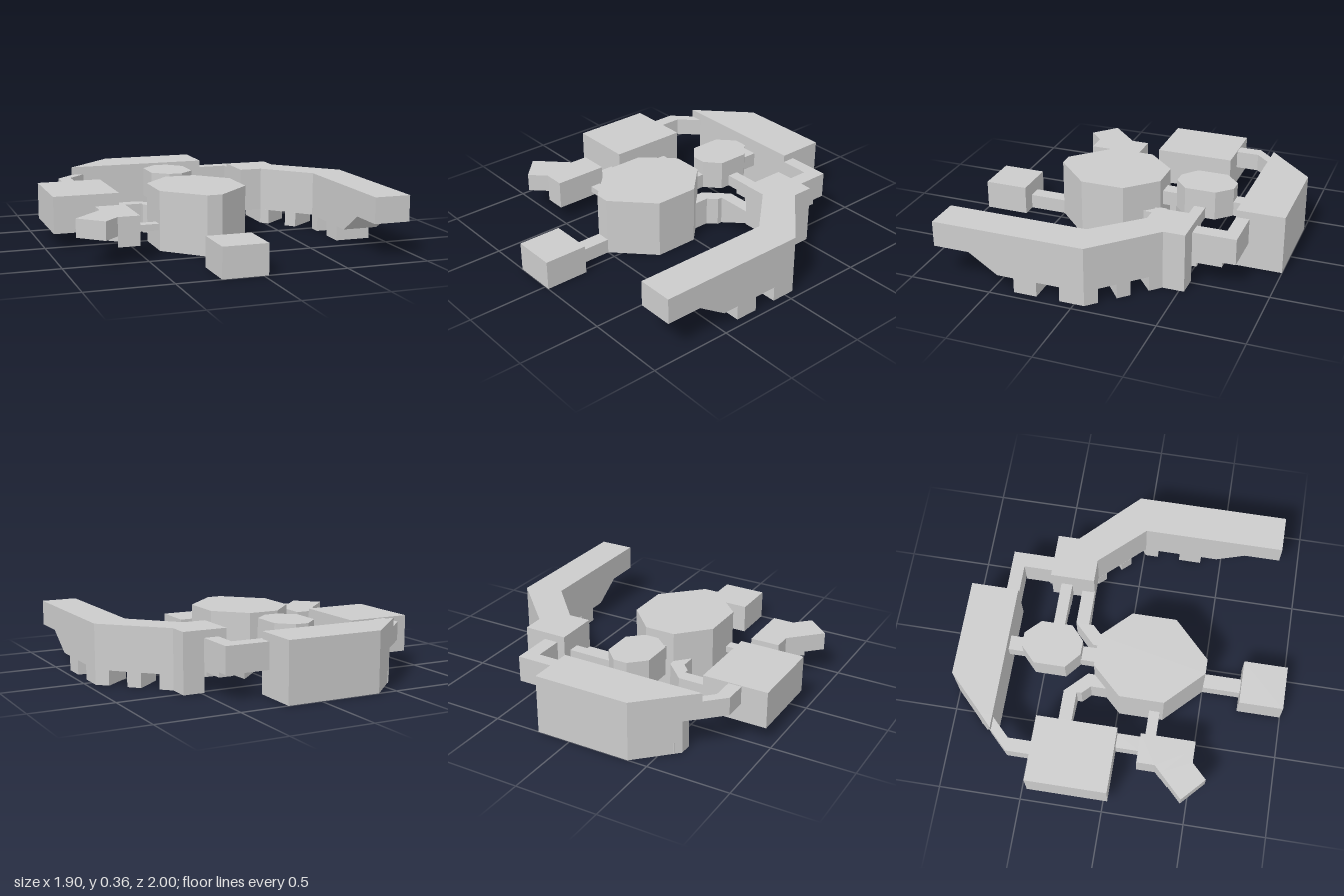
import * as THREE from 'three';

const grey = new THREE.MeshStandardMaterial({ color: 0xcccccc, flatShading: true, side: THREE.DoubleSide });

function rect(x0, z0, x1, z1) {
  return [[x0, z0], [x1, z0], [x1, z1], [x0, z1]];
}

function toShape(points, sign = 1) {
  return new THREE.Shape(points.map(([a, b]) => new THREE.Vector2(a, sign * b)));
}

export function createModel() {
  const model = new THREE.Group();

  function add(name, geometry) {
    const mesh = new THREE.Mesh(geometry, grey);
    mesh.name = name;
    model.add(mesh);
  }

  // Upright prism over a floor plan given as [x, z]
  function prism(name, plan, y0, y1, holes = []) {
    const shape = toShape(plan, -1);
    holes.forEach((h) => shape.holes.push(toShape(h, -1)));
    const g = new THREE.ExtrudeGeometry(shape, { depth: y1 - y0, bevelEnabled: false });
    g.rotateX(-Math.PI / 2);
    g.translate(0, y0, 0);
    add(name, g);
  }

  // Room whose underside has recesses
  function recessedRoom(name, plan, y0, y1, depth, holes) {
    prism(name + 'Floor', plan, y0, y0 + depth, holes);
    prism(name, plan, y0 + depth, y1);
  }

  // Central and rear octagonal halls
  prism('mainHall', [[-0.2, -0.17], [-0.01, -0.17], [0.165, 0.01], [0.165, 0.28],
    [-0.06, 0.5], [-0.15, 0.5], [-0.37, 0.28], [-0.37, 0.01]], 0, 0.36);
  prism('smallHall', [[-0.145, -0.62], [-0.06, -0.62], [0.03, -0.53], [0.03, -0.34],
    [-0.06, -0.26], [-0.145, -0.26], [-0.24, -0.34], [-0.24, -0.53]], 0.18, 0.36);
  prism('hallLink', rect(-0.15, -0.27, -0.06, -0.16), 0.18, 0.27);
  prism('rearLink', rect(-0.15, -0.72, -0.06, -0.61), 0.18, 0.27);

  // Front room
  prism('frontRoom', rect(-0.24, 0.73, 0.03, 1), 0, 0.18);
  prism('frontLink', rect(-0.15, 0.49, -0.06, 0.74), 0, 0.09);

  // Ramped passages, mirrored about the hall axis
  const axis = -0.105;
  for (const s of [-1, 1]) {
    const mx = (d) => axis + s * d;
    const ramp = toShape([[mx(0.445), 0.18], [mx(0.225), 0.18], [mx(0.225), 0], [mx(0.445), 0.095]]);
    const g = new THREE.ExtrudeGeometry(ramp, { depth: 0.08, bevelEnabled: false });
    g.translate(0, 0, -0.34);
    add('rampPassage', g);
    prism('rampBend', [[mx(0.225), -0.34], [mx(0.095), -0.21], [mx(0.095), -0.16],
      [mx(0.175), -0.085], [mx(0.175), -0.18], [mx(0.225), -0.23]], 0, 0.18);
  }

  // Rear room with recessed blocks, its narrower lower storey and end overhang
  const recesses = [0.11, -0.1, -0.31, -0.51].map((x) => rect(x - 0.06, -0.82, x + 0.04, -0.75));
  recessedRoom('rearRoom', [[-0.38, -1], [0.21, -1], [0.21, -0.71], [-0.6, -0.71], [-0.6, -0.785]],
    0, 0.36, 0.07, recesses);
  prism('rearRoomEnd', [[-0.6, -0.785], [-0.6, -0.71], [-0.68, -0.71]], 0.2, 0.36);

  // Passage from rear room to right room
  prism('rightRearPassage', [[-0.6, -0.71], [-0.68, -0.71], [-0.79, -0.6], [-0.79, -0.45],
    [-0.71, -0.45], [-0.71, -0.6]], 0.2, 0.31);

  // Passage from rear room to left hub
  prism('leftRearPassage', rect(0.2, -0.79, 0.48, -0.71), 0.155, 0.315);
  prism('leftRearPassageLeg', rect(0.39, -0.71, 0.48, -0.52), 0.125, 0.315);
  prism('leftRearStep', rect(0.39, -0.56, 0.48, -0.52), 0.1, 0.13);

  // Stepped passage from small hall to left hub
  for (let i = 0; i < 4; i++) {
    const x = 0.03 + i * 0.0775;
    prism('stairPassage', rect(x, -0.47, x + 0.0775, -0.4), 0.18 - i * 0.025, 0.25);
  }

  // Right room with a recessed floor
  recessedRoom('rightRoom', rect(-0.95, -0.46, -0.55, 0.03), 0.09, 0.315, 0.02,
    [rect(-0.88, -0.35, -0.62, -0.08)]);
  prism('rightLink', rect(-0.64, 0.02, -0.55, 0.18), 0.095, 0.19);

  // Bent front right room with a stepped underside
  prism('bentRoom', [[-0.73, 0.17], [-0.55, 0.17], [-0.55, 0.5], [-0.68, 0.5],
    [-0.59, 0.41], [-0.73, 0.28]], 0.095, 0.27);
  const cuts = [0, 0.04, 0.09, 0.18];
  for (let i = 0; i < 3; i++) {
    const [a, b] = [cuts[i], cuts[i + 1]];
    prism('bentRoomStep', [[-0.73 - a, 0.28 + a], [-0.73 - b, 0.28 + b],
      [-0.59 - b, 0.41 + b], [-0.59 - a, 0.41 + a]], [0.115, 0.135, 0.16][i], 0.27);
  }
  prism('bentRoomLink', rect(-0.56, 0.195, -0.36, 0.26), 0.12, 0.16);

  // Left hub and its diagonal corridor
  prism('leftHub', [[0.34, -0.53], [0.61, -0.53], [0.61, -0.4], [0.95, -0.06], [0.95, 0.1],
    [0.73, 0.1], [0.73, 0.01], [0.48, -0.26], [0.34, -0.26]], 0.09, 0.36);

  // Long left arm, side profile as [-z, y], with a rising underside
  const arm = new THREE.ExtrudeGeometry(
    toShape([[-0.1, 0.36], [-0.1, 0.09], [-0.47, 0.09], [-0.6, 0.175], [-0.645, 0.205], [-0.865, 0.205], [-0.865, 0.36]]),
    { depth: 0.22, bevelEnabled: false });
  arm.rotateY(Math.PI / 2);
  arm.translate(0.73, 0, 0);
  add('leftArm', arm);

  // Blocks under the hub and arm
  [
    [[0.48, -0.53], [0.61, -0.53], [0.61, -0.4], [0.67, -0.34], [0.52, -0.215], [0.48, -0.26]],
    [[0.75, -0.26], [0.81, -0.2], [0.65, -0.075], [0.6, -0.13]],
    [[0.89, -0.12], [0.95, -0.06], [0.95, 0.09], [0.73, 0.09], [0.73, 0.01]],
    rect(0.73, 0.23, 0.95, 0.37),
  ].forEach((plan) => prism('underBlock', plan, 0, 0.09));

  return model;
}
